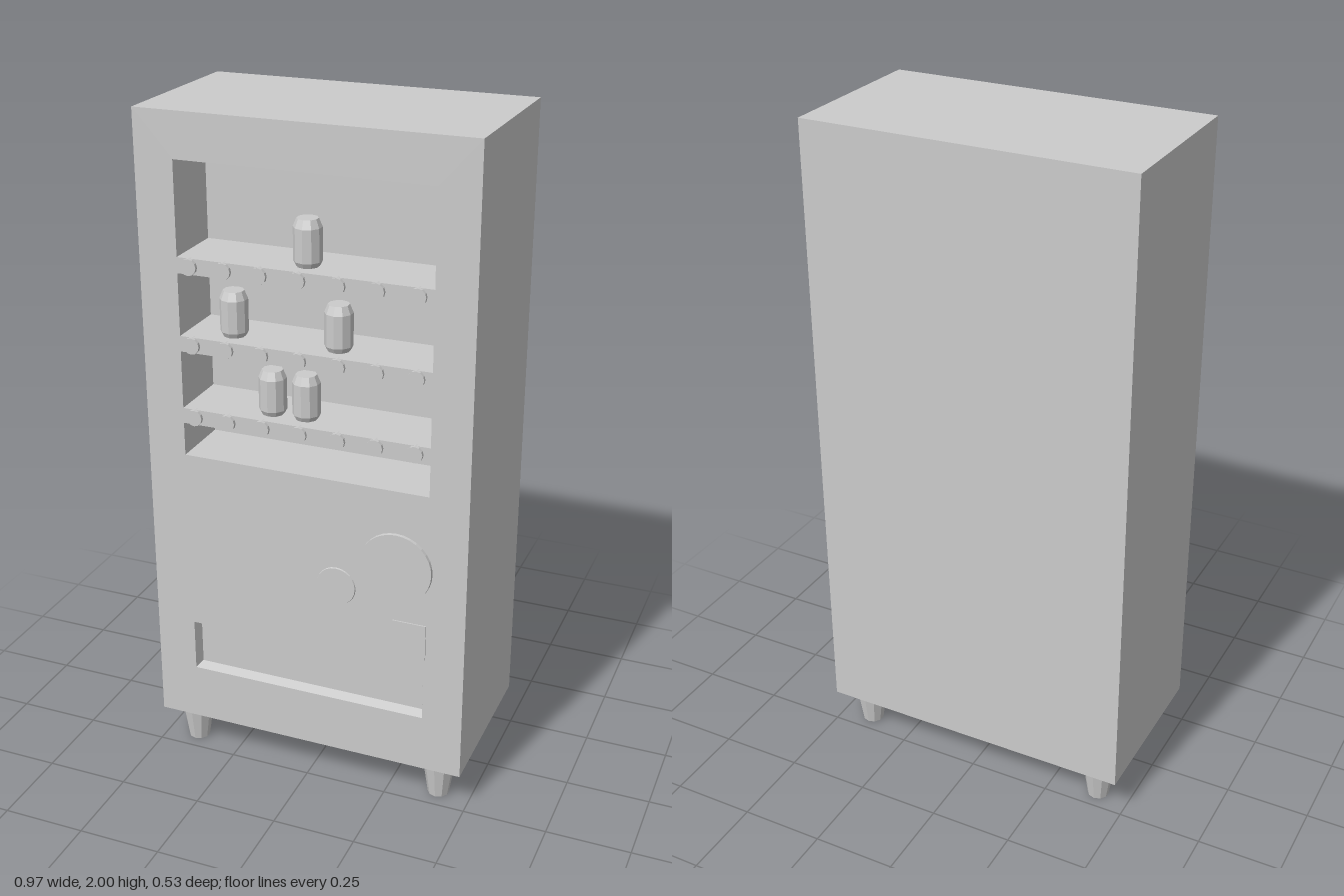
import * as THREE from 'three';

const FRONT = 0.252, BACK = -0.265, WINDOW_BACK = 0.06;
const WINDOW = [-0.37, 1.01, 0.37, 1.87]; // x0, y0, x1, y1
const SLOT = [-0.365, 0.295, 0.365, 0.455];

const mat = new THREE.MeshStandardMaterial({ color: 0xcccccc, flatShading: true });

function add(parent, name, geometry, x = 0, y = 0, z = 0) {
  const mesh = new THREE.Mesh(geometry, mat);
  mesh.name = name;
  mesh.position.set(x, y, z);
  parent.add(mesh);
  return mesh;
}

const corners = ([x0, y0, x1, y1], z) =>
  [[x0, y0, z], [x1, y0, z], [x1, y1, z], [x0, y1, z]].map(p => new THREE.Vector3(...p));

// Open-fronted pocket: four walls running back to a (possibly smaller) rear panel
function recess(rect, depth, inset) {
  const f = corners(rect, FRONT);
  const [x0, y0, x1, y1] = rect;
  const b = corners([x0 + inset, y0 + inset, x1 - inset, y1 - inset], FRONT - depth);
  const pts = [b[0], b[1], b[2], b[0], b[2], b[3]];
  for (let i = 0; i < 4; i++) {
    const j = (i + 1) % 4;
    pts.push(f[i], f[j], b[j], f[i], b[j], b[i]);
  }
  const g = new THREE.BufferGeometry().setFromPoints(pts);
  g.computeVertexNormals();
  return g;
}

// Short disc facing forward
function disc(rFront, rBack, z0, z1, sides) {
  return new THREE.CylinderGeometry(rFront, rBack, z1 - z0, sides)
    .rotateX(Math.PI / 2).translate(0, 0, (z0 + z1) / 2);
}

export function createModel() {
  const model = new THREE.Group();
  model.name = 'vendingMachine';

  // Cabinet: box without its front, closed by a face with two openings
  const shell = new THREE.BoxGeometry(0.97, 1.88, FRONT - BACK);
  const index = Array.from(shell.index.array);
  index.splice(24, 6);
  shell.setIndex(index);
  shell.clearGroups();
  add(model, 'cabinet', shell, 0, 1.06, (FRONT + BACK) / 2);

  const face = new THREE.Shape(corners([-0.485, 0.12, 0.485, 2], 0));
  for (const rect of [WINDOW, SLOT]) face.holes.push(new THREE.Path(corners(rect, 0)));
  add(model, 'frontPanel', new THREE.ShapeGeometry(face), 0, 0, FRONT);
  add(model, 'displayRecess', recess(WINDOW, FRONT - WINDOW_BACK, 0));
  add(model, 'deliverySlot', recess(SLOT, 0.03, 0.01));

  // Shelves with a row of selection buttons
  const depth = FRONT - WINDOW_BACK;
  for (const y of [1.133, 1.35, 1.578]) {
    add(model, 'shelf', new THREE.BoxGeometry(0.74, 0.046, depth), 0, y, WINDOW_BACK + depth / 2);
    for (const x of [-0.333, -0.231, -0.126, -0.014, 0.1, 0.211, 0.326])
      add(model, 'button', disc(0.024, 0.024, 0.24, 0.262, 12), x, y, 0);
  }

  // Cans standing on the shelves
  const can = new THREE.LatheGeometry(
    [[0, 0], [0.032, 0], [0.04, 0.015], [0.04, 0.108], [0.03, 0.132], [0, 0.132]]
      .map(p => new THREE.Vector2(...p)), 10);
  for (const [x, y] of [[-0.01, 1.601], [-0.233, 1.373], [0.079, 1.373], [-0.12, 1.156], [-0.018, 1.156]])
    add(model, 'can', can, x, y, 0.187);

  // Controls on the lower front
  add(model, 'largeDial', disc(0.107, 0.109, 0.245, 0.261, 32), 0.277, 0.773, 0);
  add(model, 'smallDial', disc(0.058, 0.062, 0.245, 0.256, 24), 0.097, 0.678, 0);
  add(model, 'coinPlate', new THREE.BoxGeometry(0.1, 0.11, 0.012), 0.32, 0.55, 0.25);

  // Tapered feet
  const foot = new THREE.CylinderGeometry(0.048, 0.032, 0.105, 10);
  for (const x of [-0.4, 0.4])
    for (const z of [-0.188, 0.182]) add(model, 'foot', foot, x, 0.0525, z);

  return model;
}
